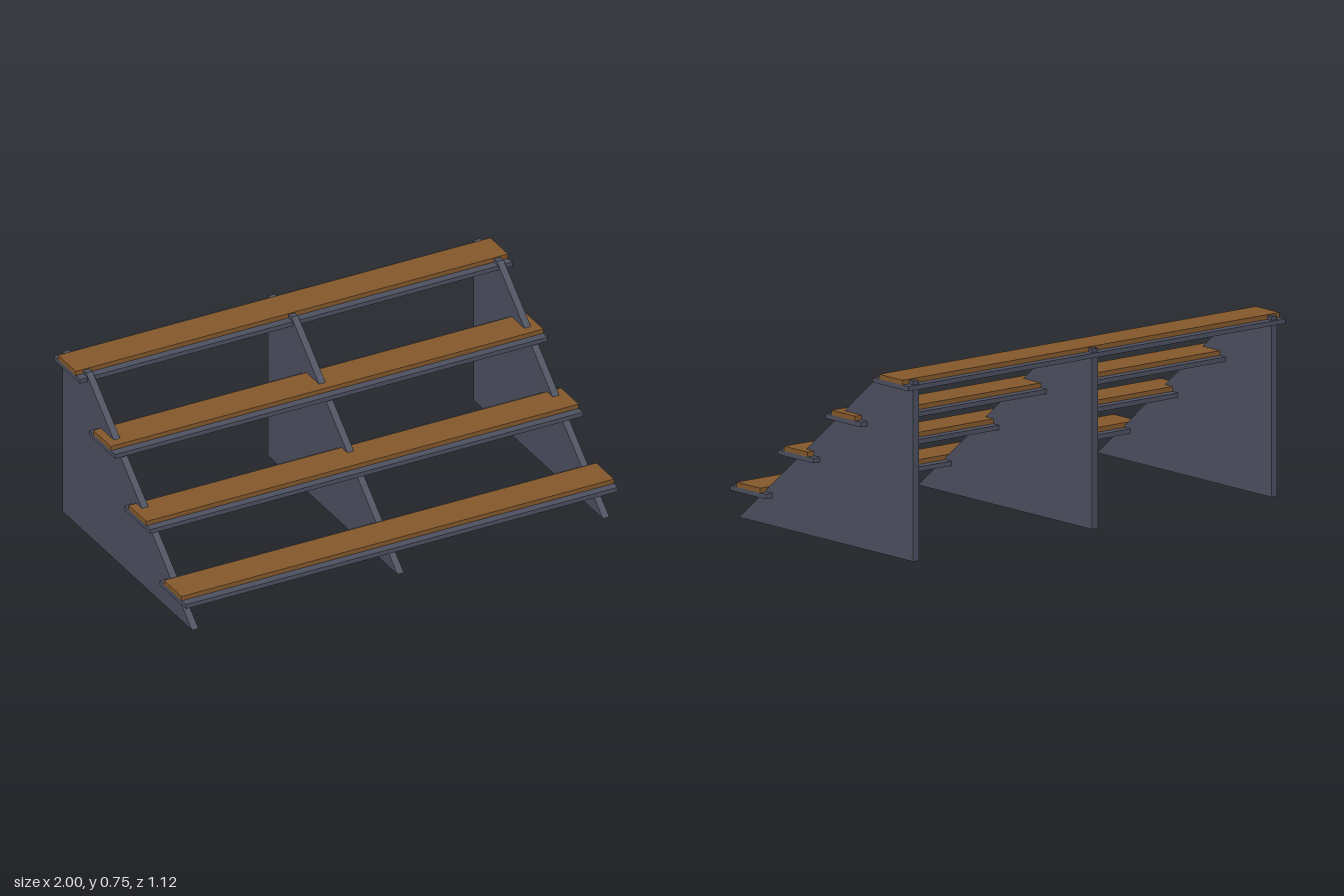
import * as THREE from 'three';

export function createModel() {
  const model = new THREE.Group();
  model.name = 'tieredStand';
  const metal = new THREE.MeshStandardMaterial({ color: 0x4d5160 });
  metal.name = 'slate grey';
  const wood = new THREE.MeshStandardMaterial({ color: 0x85592c });
  wood.name = 'brown wood';

  const add = (name, geometry, material, x, y, z) => {
    const mesh = new THREE.Mesh(geometry, material);
    mesh.name = name;
    mesh.position.set(x, y, z);
    model.add(mesh);
  };

  // Sloped upright panels; the shape's x axis is turned to face +z
  const thickness = 0.03;
  const profile = new THREE.Shape([
    new THREE.Vector2(0.55, 0),
    new THREE.Vector2(-0.35, 0.75),
    new THREE.Vector2(-0.55, 0.75),
    new THREE.Vector2(-0.55, 0),
  ]);
  const panel = new THREE.ExtrudeGeometry(profile, { depth: thickness, bevelEnabled: false });
  panel.translate(0, 0, -thickness / 2).rotateY(-Math.PI / 2);
  add('rightPanel', panel, metal, -0.95, 0, 0);
  add('middlePanel', panel, metal, 0, 0, 0);
  add('leftPanel', panel, metal, 0.95, 0, 0);

  // Four tiers: a wide support plate with a narrower wooden plank on top
  const plate = new THREE.BoxGeometry(2, 0.02, 0.222);
  const plank = new THREE.BoxGeometry(2, 0.02, 0.15);
  for (let i = 0; i < 4; i++) {
    const y = 0.125 + 0.2 * i;
    const z = 0.45 - 0.3 * i;
    add(`supportPlate${i + 1}`, plate, metal, 0, y, z);
    add(`plank${i + 1}`, plank, wood, 0, y + 0.02, z);
  }
  return model;
}
